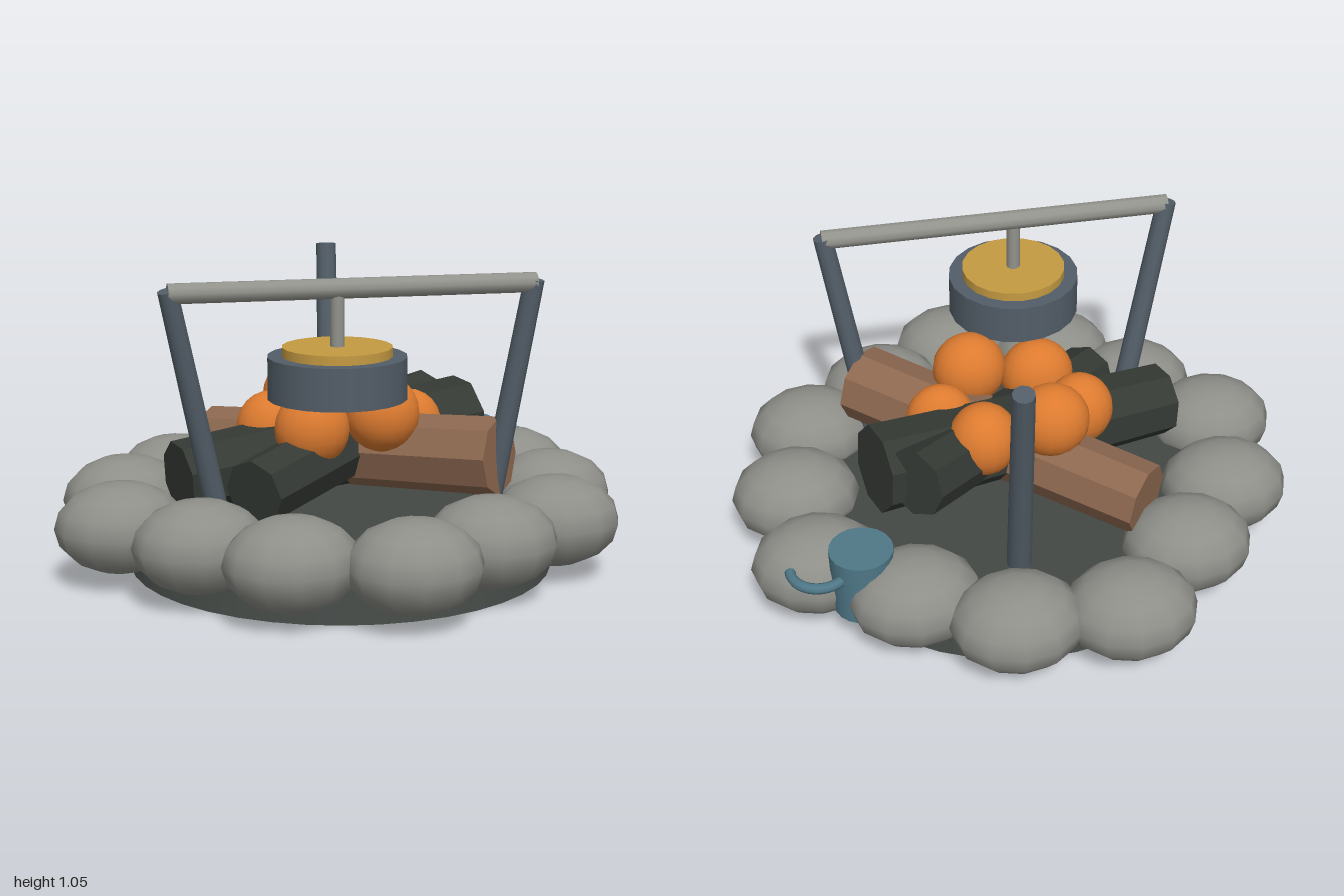
import * as THREE from 'three';

const mat = (name, color) => {
  const m = new THREE.MeshStandardMaterial({ color });
  m.name = name;
  return m;
};

export function createModel() {
  const group = new THREE.Group();
  const stone = mat('stone grey', 0x8e8f89);
  const earth = mat('dark earth', 0x434845);
  const charred = mat('charred wood', 0x343934);
  const wood = mat('brown wood', 0x8d6850);
  const ember = mat('ember orange', 0xdd7b30);
  const iron = mat('dark iron', 0x535e68);
  const steel = mat('pale steel', 0x92938c);
  const broth = mat('golden lid', 0xc59b42);
  const enamel = mat('blue enamel', 0x4f7888);

  const add = (name, geometry, material, x = 0, y = 0, z = 0) => {
    const mesh = new THREE.Mesh(geometry, material);
    mesh.name = name;
    mesh.position.set(x, y, z);
    group.add(mesh);
    return mesh;
  };

  // Cylinder running from point a to point b
  const rod = (name, a, b, rA, rB, sides, material, flat = false) => {
    const start = new THREE.Vector3(...a), end = new THREE.Vector3(...b);
    const dir = end.clone().sub(start);
    let geo = new THREE.CylinderGeometry(rB, rA, dir.length(), sides);
    if (flat) {
      geo = geo.toNonIndexed();
      geo.computeVertexNormals();
    }
    const mesh = add(name, geo, material);
    mesh.position.copy(start).add(end).multiplyScalar(0.5);
    mesh.quaternion.setFromUnitVectors(new THREE.Vector3(0, 1, 0), dir.normalize());
    return mesh;
  };

  const ball = (name, geo, material, [x, y, z], [sx, sy, sz]) => {
    add(name, geo, material, x, y, z).scale.set(sx, sy, sz);
  };

  // Fire bed
  add('fireBed', new THREE.CylinderGeometry(0.7, 0.74, 0.18, 40), earth, 0.01, 0.09, -0.02);

  // Ring of stones
  const stoneGeo = new THREE.SphereGeometry(1, 12, 8);
  [
    [-0.275, -0.78], [0.1, -0.78], [0.415, -0.61], [0.72, -0.4], [0.77, -0.03],
    [0.69, 0.33], [0.41, 0.55], [0.11, 0.77], [-0.265, 0.68], [-0.53, 0.44],
    [-0.77, 0.17], [-0.73, -0.205], [-0.53, -0.49],
  ].forEach(([x, z]) => ball('ringStone', stoneGeo, stone, [x, 0.203, z], [0.224, 0.155, 0.19]));

  // Crossed logs
  rod('charredLog', [-0.57, 0.35, 0.13], [0.5, 0.445, -0.23], 0.13, 0.155, 8, charred, true);
  rod('charredLog', [-0.34, 0.34, 0.33], [0.38, 0.48, -0.37], 0.115, 0.12, 8, charred, true);
  rod('brownLog', [-0.4, 0.35, -0.42], [0.5, 0.425, 0.3], 0.125, 0.135, 8, wood, true);

  // Glowing embers
  const emberGeo = new THREE.SphereGeometry(1, 18, 12);
  [
    [-0.11, 0.56, -0.2, 0.13, 0.115], [0.125, 0.51, -0.205, 0.12, 0.115],
    [-0.235, 0.475, -0.04, 0.12, 0.11], [0.25, 0.47, -0.015, 0.12, 0.088],
    [-0.115, 0.51, 0.14, 0.13, 0.11], [0.125, 0.555, 0.145, 0.13, 0.115],
  ].forEach(([x, y, z, rx, rz]) => ball('ember', emberGeo, ember, [x, y, z], [rx, 0.132, rz]));

  // Support posts and crossbar
  rod('frontPost', [-0.43, 0.15, 0.25], [-0.615, 1.03, 0.38], 0.04, 0.034, 10, iron);
  rod('frontPost', [0.455, 0.15, 0.27], [0.6, 1.03, 0.325], 0.04, 0.034, 10, iron);
  rod('backPost', [0.045, 0.15, -0.47], [0.065, 1.035, -0.67], 0.043, 0.037, 10, iron);
  rod('crossbar', [-0.615, 1.02, 0.38], [0.605, 1.02, 0.325], 0.034, 0.034, 10, steel);

  // Hanging pot
  rod('hanger', [-0.065, 0.8, 0.355], [-0.065, 1.02, 0.355], 0.024, 0.024, 10, steel);
  add('pot', new THREE.CylinderGeometry(0.23, 0.23, 0.14, 20), iron, -0.065, 0.73, 0.355);
  add('potLid', new THREE.CylinderGeometry(0.182, 0.182, 0.032, 20), broth, -0.065, 0.815, 0.355);

  // Mug with its side handle
  add('mug', new THREE.CylinderGeometry(0.107, 0.1, 0.24, 20), enamel, 0.58, 0.25, -0.54);
  const handle = add('mugHandle', new THREE.TorusGeometry(0.095, 0.018, 8, 16, Math.PI), enamel, 0.72, 0.3, -0.54);
  handle.rotation.x = -Math.PI / 2;

  return group;
}
